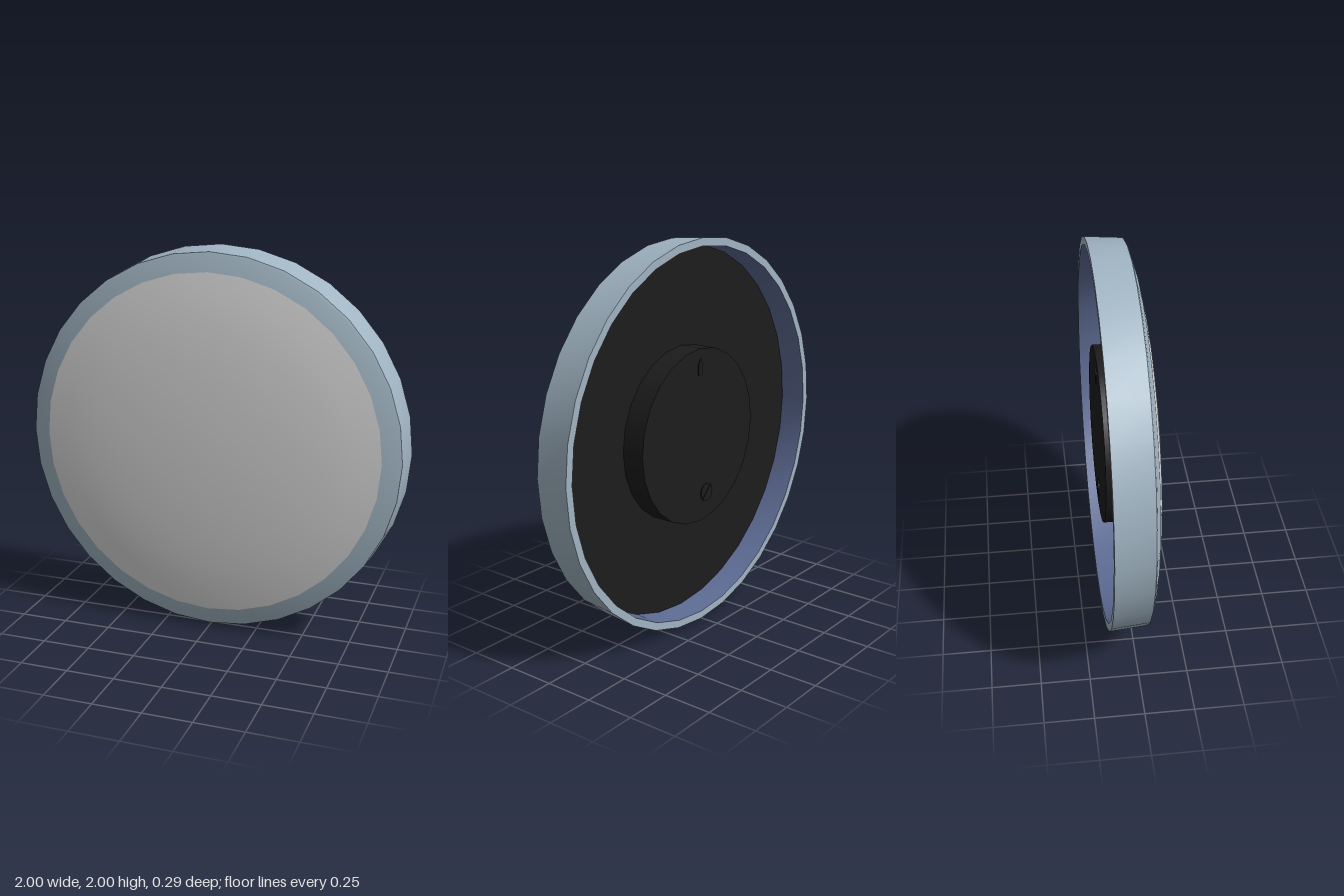
import * as THREE from 'three';
import { toCreasedNormals } from 'three/addons/utils/BufferGeometryUtils.js';

const SIDES = 32;

export function createModel() {
  const model = new THREE.Group();
  model.name = 'roundWallLamp';

  const mat = (name, color) => {
    const m = new THREE.MeshStandardMaterial({ color });
    m.name = name;
    return m;
  };
  const frameBlue = mat('frame grey blue', 0xa0b4c2);
  const glassGrey = mat('glass light grey', 0xd8d8d8);
  const innerBlue = mat('inner wall blue', 0x5f6d96);
  const black = mat('back black', 0x1c1c1c);

  const add = (name, geometry, material, x = 0, y = 0, z = 0) => {
    const mesh = new THREE.Mesh(geometry, material);
    mesh.name = name;
    mesh.position.set(x, y + 1, z);
    model.add(mesh);
    return mesh;
  };

  // Profile of [radius, z] pairs turned around the z axis
  const turned = (profile) => {
    const points = profile.map(([r, z]) => new THREE.Vector2(r, z));
    const g = new THREE.LatheGeometry(points, SIDES).rotateX(Math.PI / 2);
    return toCreasedNormals(g, 0.5);
  };

  // Rim: back lip, tapered outer wall and sloping front border
  add('frame', turned([
    [0.96, -0.146], [1, -0.146], [0.985, 0.044], [0.972, 0.05], [0.89, 0.074],
  ]), frameBlue);

  // Domed front
  add('glassDome', turned([
    [0.89, 0.074], [0.77, 0.097], [0.62, 0.117], [0.46, 0.131],
    [0.3, 0.14], [0.15, 0.145], [0, 0.146],
  ]), glassGrey);

  // Recess at the back
  add('innerWall', turned([[0.955, -0.01], [0.96, -0.146]]).scale(1, 1, 1),
    innerBlue).material.side = THREE.DoubleSide;
  add('backPlate', new THREE.CircleGeometry(0.957, SIDES).rotateY(Math.PI), black, 0, 0, -0.01);

  // Raised mounting boss
  const boss = new THREE.CylinderGeometry(0.455, 0.455, 0.12, 24).rotateX(Math.PI / 2);
  add('mountingBoss', boss, black, 0, 0, -0.07);

  // Pointed hanging slot near the top of the boss
  const slot = new THREE.Shape([
    [-0.018, -0.04], [0.018, -0.04], [0.018, 0.015], [0, 0.045], [-0.018, 0.015],
  ].map(([x, y]) => new THREE.Vector2(x, y)));
  add('hangingSlot', new THREE.ExtrudeGeometry(slot, { depth: 0.005, bevelEnabled: false }),
    black, 0, 0.36, -0.135);

  // Screw with a slanted driver ridge near the bottom
  const screw = new THREE.CylinderGeometry(0.048, 0.048, 0.006, 12).rotateX(Math.PI / 2);
  add('screwHead', screw, black, -0.055, -0.31, -0.133);
  const ridge = add('screwRidge', new THREE.BoxGeometry(0.085, 0.012, 0.004), black, -0.055, -0.31, -0.138);
  ridge.rotation.z = -Math.PI / 4;

  return model;
}
